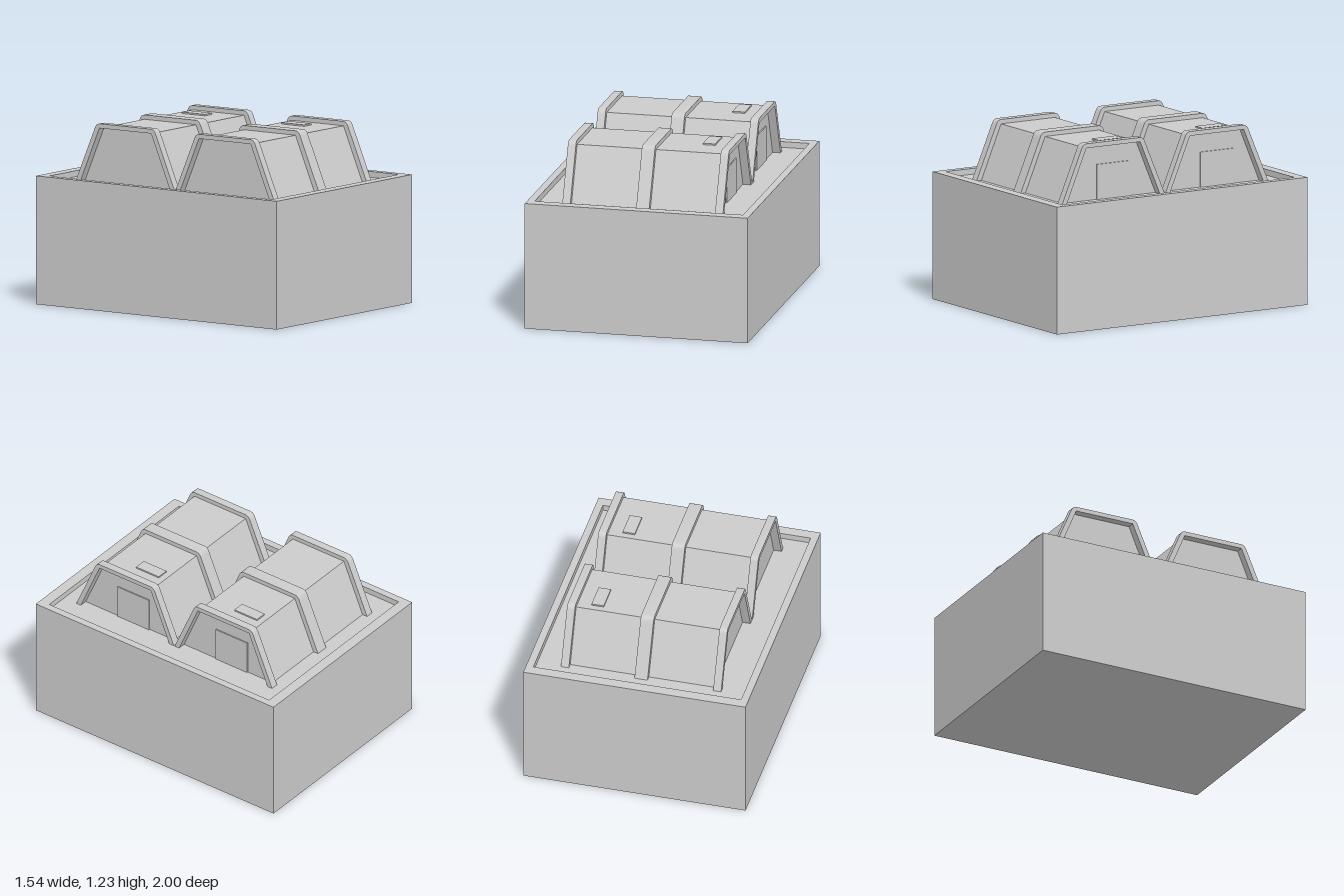
import * as THREE from 'three';
import { toCreasedNormals } from 'three/addons/utils/BufferGeometryUtils.js';

const FLOOR = 0.83;
const TOP = 1.2;

function addMesh(parent, name, geometry, x = 0, y = 0, z = 0) {
  const material = new THREE.MeshStandardMaterial({ color: 0xcccccc });
  const mesh = new THREE.Mesh(geometry, material);
  mesh.name = name;
  mesh.position.set(x, y, z);
  parent.add(mesh);
  return mesh;
}

// Closed block with a shallow tray in its top, from rectangular loops [halfX, halfZ, y]
function trayGeometry(loops) {
  const corners = loops.map(([x, z, y]) => [[x, y, z], [x, y, -z], [-x, y, -z], [-x, y, z]]);
  const positions = [];
  const quad = (a, b, c, d) => positions.push(...a, ...b, ...c, ...a, ...c, ...d);
  for (let i = 0; i < corners.length - 1; i++) {
    for (let k = 0; k < 4; k++) {
      const n = (k + 1) % 4;
      quad(corners[i][k], corners[i][n], corners[i + 1][n], corners[i + 1][k]);
    }
  }
  const first = corners[0];
  quad(first[3], first[2], first[1], first[0]);
  quad(...corners[corners.length - 1]);
  const geometry = new THREE.BufferGeometry();
  geometry.setAttribute('position', new THREE.Float32BufferAttribute(positions, 3));
  geometry.computeVertexNormals();
  return geometry;
}

// Extrudes a (z, y) profile along x, centred on x = 0
function extrudeAlongX(shape, width) {
  const geometry = new THREE.ExtrudeGeometry(shape, { depth: width, bevelEnabled: false, curveSegments: 4 });
  geometry.translate(0, 0, -width / 2);
  geometry.rotateY(-Math.PI / 2);
  return toCreasedNormals(geometry, 0.5);
}

// Sloped hull section
function bodyShape() {
  return new THREE.Shape([
    new THREE.Vector2(-0.372, FLOOR), new THREE.Vector2(0.372, FLOOR),
    new THREE.Vector2(0.215, TOP), new THREE.Vector2(-0.215, TOP),
  ]);
}

// Band that follows the hull, with rounded outer shoulders
function ribShape() {
  const s = new THREE.Shape();
  s.moveTo(0.372, FLOOR);
  s.lineTo(0.41, FLOOR);
  s.lineTo(0.256, 1.19);
  s.quadraticCurveTo(0.243, 1.23, 0.215, 1.23);
  s.lineTo(-0.215, 1.23);
  s.quadraticCurveTo(-0.243, 1.23, -0.256, 1.19);
  s.lineTo(-0.41, FLOOR);
  s.lineTo(-0.372, FLOOR);
  s.lineTo(-0.215, TOP);
  s.lineTo(0.215, TOP);
  s.closePath();
  return s;
}

function createShelter(name) {
  const shelter = new THREE.Group();
  shelter.name = name;
  addMesh(shelter, 'shelterBody', extrudeAlongX(bodyShape(), 1.0));

  // Narrow ribs frame the ends, a wider one crosses the middle
  for (const [ribName, x, width] of [['rightRib', -0.5275, 0.055], ['middleRib', 0, 0.09], ['leftRib', 0.5275, 0.055]]) {
    addMesh(shelter, ribName, extrudeAlongX(ribShape(), width), x);
  }

  // Roof hatch
  addMesh(shelter, 'roofHatch', new THREE.BoxGeometry(0.085, 0.02, 0.19), 0.363, 1.2, -0.075);

  // Double door on the left end
  for (const z of [-0.098, 0.034]) {
    addMesh(shelter, 'doorLeaf', new THREE.BoxGeometry(0.016, 0.24, 0.132), 0.5, FLOOR + 0.12, z);
  }
  return shelter;
}

export function createModel() {
  const model = new THREE.Group();
  model.name = 'twinShelters';

  // Plinth with a raised rim
  addMesh(model, 'plinth', trayGeometry([
    [0.77, 1, 0], [0.77, 1, 0.87], [0.72, 0.925, 0.87], [0.72, 0.925, FLOOR],
  ]));

  // Two identical shelters, one behind the other
  for (const [name, z] of [['frontShelter', 0.412], ['backShelter', -0.415]]) {
    const shelter = createShelter(name);
    shelter.position.z = z;
    model.add(shelter);
  }
  return model;
}
